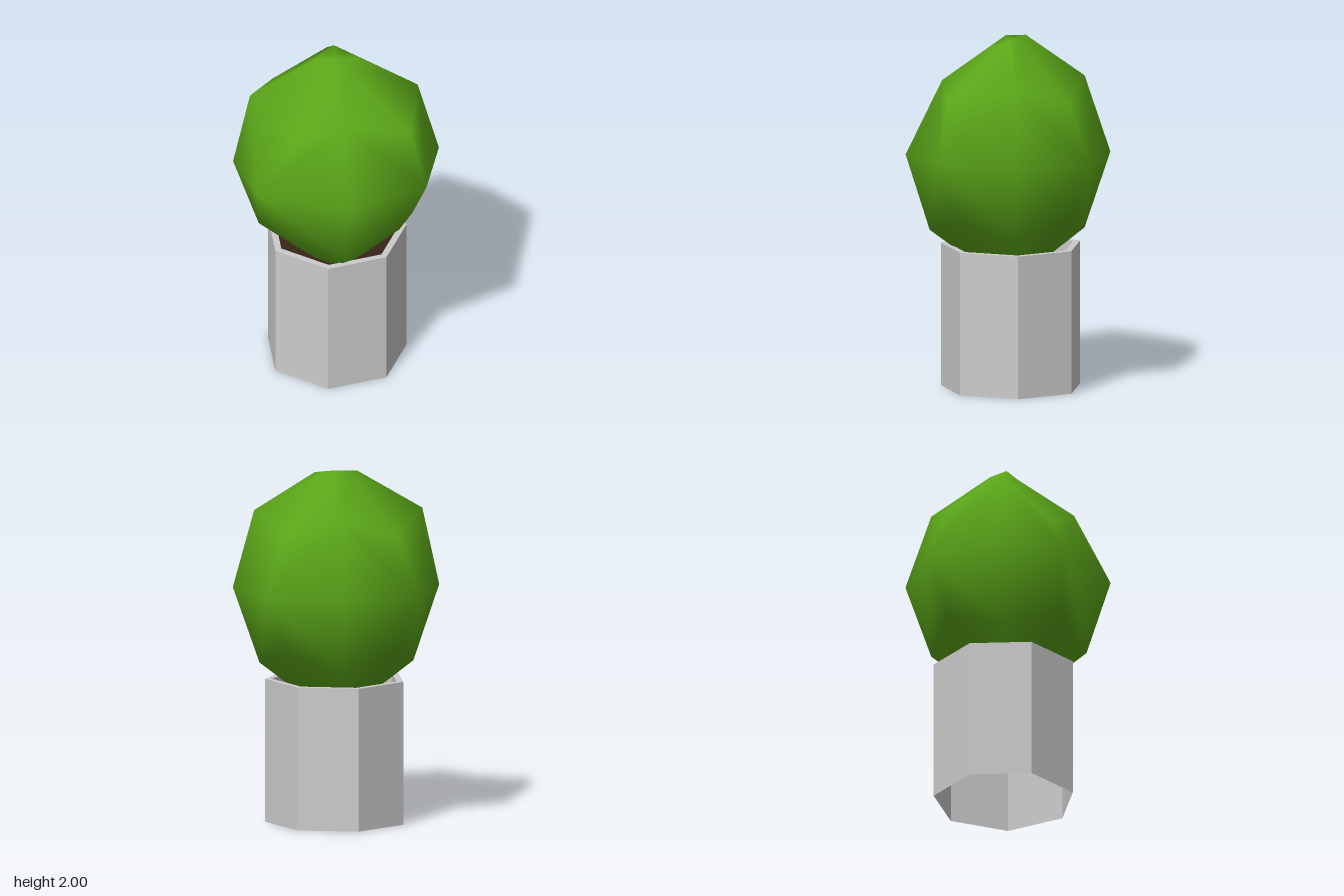
import * as THREE from 'three';

const SIDES = 7;
const POT_Z = -0.022;

// Foliage cross-sections from top to bottom: [radius, height, angle offset],
// eight points per ring, starting at +x and turning towards +z
const RINGS = [
  [[0.12, 1.975], [0.08, 1.955], [0.10, 1.93], [0.08, 1.955], [0.12, 1.98], [0.08, 1.99], [0.10, 2.0], [0.08, 1.99]],
  [[0.46, 1.765], [0.53, 1.69], [0.37, 1.75], [0.37, 1.6], [0.485, 1.765], [0.455, 1.65], [0.43, 1.765], [0.455, 1.65]],
  [[0.58, 1.33], [0.63, 1.36, -0.03], [0.575, 1.33], [0.595, 1.33, 0.17], [0.58, 1.33], [0.61, 1.33], [0.575, 1.33], [0.61, 1.33]],
  [[0.43, 0.9], [0.45, 1.01], [0.44, 0.9], [0.45, 1.01], [0.435, 0.9], [0.45, 1.01], [0.43, 0.9], [0.45, 1.01]],
  Array.from({ length: 8 }, () => [0.12, 0.66]),
];

function foliageGeometry() {
  const n = 8, positions = [], index = [];
  for (const ring of RINGS) {
    ring.forEach(([r, y, turn = 0], k) => {
      const a = (k / n) * Math.PI * 2 + turn;
      positions.push(r * Math.cos(a), y, r * Math.sin(a));
    });
  }
  const last = RINGS.length - 1;
  const topCentre = positions.length / 3;
  positions.push(0, 1.972, 0, 0, 0.65, 0);

  for (let k = 0; k < n; k++) {
    const next = (k + 1) % n;
    // Caps
    index.push(topCentre, next, k);
    index.push(topCentre + 1, last * n + k, last * n + next);
    // Side quads, with diagonals alternating to keep the facets bulging
    for (let i = 0; i < last; i++) {
      const a = i * n + k, b = i * n + next, c = a + n, d = b + n;
      if ((i + k) % 2) index.push(a, b, d, a, d, c);
      else index.push(a, b, c, b, d, c);
    }
  }
  const geometry = new THREE.BufferGeometry();
  geometry.setAttribute('position', new THREE.Float32BufferAttribute(positions, 3));
  geometry.setIndex(index);
  geometry.computeVertexNormals();
  return geometry;
}

export function createModel() {
  const group = new THREE.Group();
  group.name = 'pottedBush';

  function add(name, geometry, material, z = 0) {
    const mesh = new THREE.Mesh(geometry, material);
    mesh.name = name;
    mesh.position.z = z;
    group.add(mesh);
  }

  // Seven-sided pot: outer wall, rim and short inner wall, open underneath
  const profile = [[0.4, 0], [0.4, 0.81], [0.36, 0.81], [0.36, 0.73]]
    .map(([x, y]) => new THREE.Vector2(x, y));
  add('pot', new THREE.LatheGeometry(profile, SIDES, Math.PI / 2),
    new THREE.MeshStandardMaterial({ color: 0xcccccc, flatShading: true, side: THREE.DoubleSide }), POT_Z);

  // Soil disc just below the rim
  const soil = new THREE.CircleGeometry(0.36, SIDES).rotateX(-Math.PI / 2).translate(0, 0.73, 0);
  add('soil', soil, new THREE.MeshStandardMaterial({ color: 0x3a2418, side: THREE.DoubleSide }), POT_Z);

  // Rounded, slightly uneven foliage
  add('foliage', foliageGeometry(), new THREE.MeshStandardMaterial({ color: 0x5aa518 }));

  return group;
}
